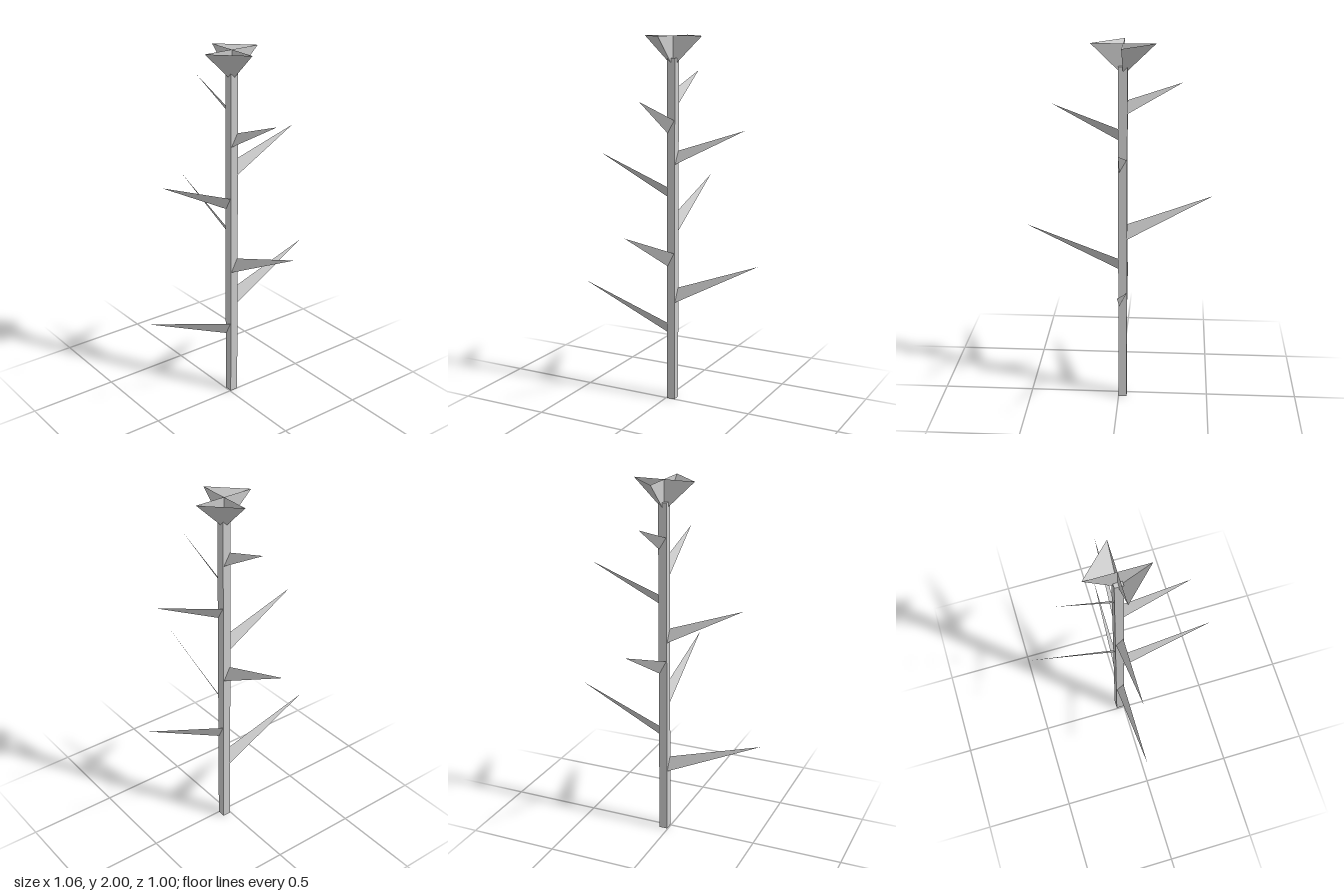
import * as THREE from 'three';

const material = new THREE.MeshStandardMaterial({ color: 0xcccccc, flatShading: true, side: THREE.DoubleSide });
const AXIS = { x: 0.028, z: -0.022 };
const HALF = 0.0235; // half the stem's width

// Flat triangles from a list of corner points
function triangles(name, points) {
  const geometry = new THREE.BufferGeometry();
  geometry.setAttribute('position', new THREE.Float32BufferAttribute(points.flat(), 3));
  geometry.computeVertexNormals();
  const mesh = new THREE.Mesh(geometry, material);
  mesh.name = name;
  return mesh;
}

export function createModel() {
  const model = new THREE.Group();
  model.name = 'plant';
  const plant = new THREE.Group();
  plant.position.set(AXIS.x, 0, AXIS.z);
  model.add(plant);

  // Square stem
  const stemHeight = 1.885;
  const stem = new THREE.Mesh(new THREE.BoxGeometry(HALF * 2, stemHeight, HALF * 2), material);
  stem.name = 'stem';
  stem.position.y = stemHeight / 2;
  plant.add(stem);

  // Leaves: [quarter turns from +x towards +z, base low, base high, tip reach, tip height]
  const leaves = [
    [2, 0.365, 0.44, 0.558, 0.61],
    [0, 0.56, 0.637, 0.5, 0.815],
    [1, 0.763, 0.838, 0.52, 1.02],
    [3, 0.95, 1.025, 0.478, 1.2],
    [2, 1.13, 1.2, 0.443, 1.355],
    [0, 1.325, 1.395, 0.417, 1.525],
    [1, 1.49, 1.56, 0.367, 1.685],
    [3, 1.64, 1.705, 0.308, 1.805],
  ];
  for (const [turn, low, high, reach, tip] of leaves) {
    const leaf = triangles('leaf', [
      [HALF, low, 0.019], [reach, tip, 0], [HALF, high, -0.02],
    ]);
    leaf.rotation.y = -turn * Math.PI / 2;
    plant.add(leaf);
  }

  // Flower: two upright crossed petals and two slanted petals, all rooted inside the stem
  const r = 0.168, top = 2;
  const root = [0, 1.838, 0];
  const east = [r, top, 0], west = [-r, top, 0], north = [0, top, -r], south = [0, top, r];
  const flower = new THREE.Group();
  flower.name = 'flower';
  flower.add(
    triangles('crossPetal', [root, east, west]),
    triangles('crossPetal', [root, north, south]),
    triangles('slantedPetal', [root, north, east]),
    triangles('slantedPetal', [root, south, west]),
  );
  plant.add(flower);
  return model;
}
